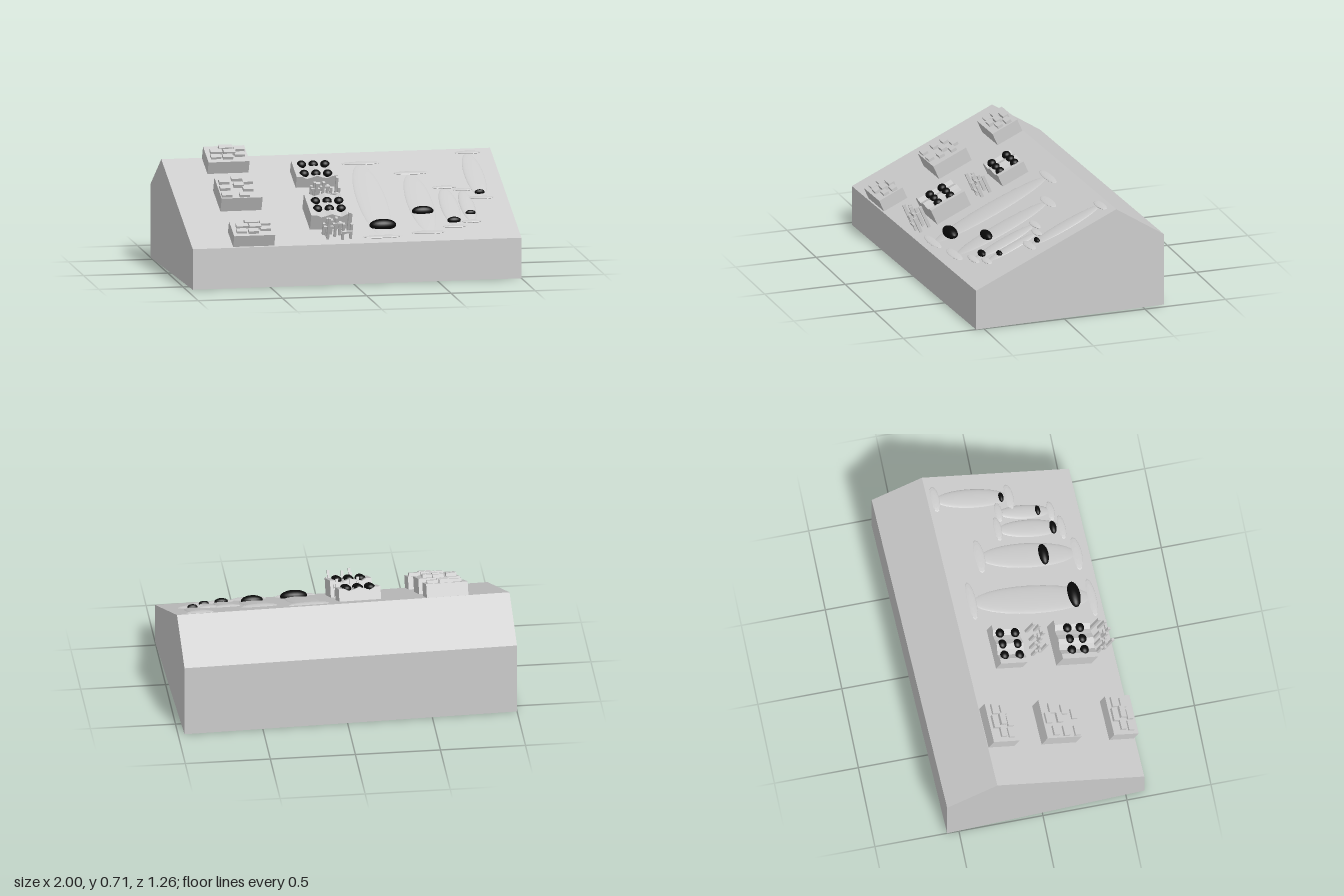
import * as THREE from 'three';

const YAW = 0.032, TILT = Math.atan2(0.39, 0.88);
const COS = Math.cos(TILT), SIN = Math.sin(TILT);
const grey = new THREE.MeshStandardMaterial({ color: 0xcccccc, flatShading: true });
const smooth = new THREE.MeshStandardMaterial({ color: 0xcccccc });
const black = new THREE.MeshStandardMaterial({ color: 0x080808 });

// Plan position (x, z) at height h above the sloping panel -> panel coordinates
function onPanel(x, z, h) {
  const w = z + 0.011 + YAW * x;
  return new THREE.Vector3(x - YAW * (z + 0.011), h, (w - 0.15 - h * SIN) / COS);
}

function add(parent, name, geometry, material, position) {
  const mesh = new THREE.Mesh(geometry, material);
  mesh.name = name;
  if (position) mesh.position.copy(position);
  parent.add(mesh);
  return mesh;
}

// Block standing on the panel; (x, z) is the centre of its top face
function block(parent, name, x, z, w, h, d) {
  const p = onPanel(x, z, h);
  p.y = h / 2 - 0.005;
  return add(parent, name, new THREE.BoxGeometry(w, h + 0.01, d), grey, p);
}

function dome(parent, name, x, z, h, rx, ry, rz) {
  const mesh = add(parent, name, new THREE.SphereGeometry(1, 20, 12), black, onPanel(x, z, h));
  mesh.scale.set(rx, ry, rz);
}

// Box with raised rectangular keys; keys are offsets [dx, dz, width, height]
function keyBox(parent, x, z, h, d, keys) {
  const g = new THREE.Group();
  g.name = 'keyBox';
  parent.add(g);
  block(g, 'keyBoxBody', x, z, 0.245, h, d);
  for (const [dx, dz, w, kh] of keys) {
    const p = onPanel(x + dx, z + dz, h);
    p.y += kh / 2;
    add(g, 'key', new THREE.BoxGeometry(w, kh, 0.035), grey, p);
  }
}

// Box with a wavy top that carries two rows of three black domes
function domeBox(parent, x, z, h, d, rowGap) {
  const g = new THREE.Group();
  g.name = 'domeBox';
  parent.add(g);
  const s = new THREE.Shape();
  s.moveTo(-0.123, -0.01);
  s.lineTo(0.123, -0.01);
  const wave = [0, 0, -0.016, -0.008, 0.004, -0.008, -0.016, 0, 0];
  wave.forEach((dy, i) => s.lineTo(0.123 - i * 0.246 / 8, h + dy));
  const geo = new THREE.ExtrudeGeometry(s, { depth: d, bevelEnabled: false });
  geo.translate(0, 0, -d / 2);
  const p = onPanel(x, z, h);
  p.y = 0;
  add(g, 'domeBoxBody', geo, grey, p);
  for (const dx of [-0.07, 0, 0.07])
    for (const side of [-1, 1])
      dome(g, 'boxDome', x + dx, z + side * rowGap / 2, h - 0.004, 0.028, 0.022, 0.026);
}

// Cluster of thin upright posts with a few cross pieces
function postCluster(parent, x, z, tall) {
  const g = new THREE.Group();
  g.name = 'postCluster';
  parent.add(g);
  const posts = [[-0.075, -0.03, 0.07], [-0.06, 0.0, 0.11], [-0.03, -0.025, 0.09], [-0.055, 0.04, 0.13],
    [-0.01, 0.015, 0.12], [0.02, -0.02, 0.08], [0.03, 0.035, 0.1], [0.075, -0.015, 0.13], [0.08, 0.02, 0.09]];
  for (const [dx, dz, h] of posts) block(g, 'post', x + dx, z + dz, 0.014, h * tall, 0.018);
  for (const [dx, dz, h] of [[-0.05, -0.012, 0.06], [0.0, 0.0, 0.08], [0.05, 0.02, 0.05]]) {
    const p = onPanel(x + dx, z + dz, h * tall);
    add(g, 'crossPiece', new THREE.BoxGeometry(0.06, 0.014, 0.014), grey, p);
  }
}

// Shallow ridge along the slope, ended by nearly level lens-shaped lips
function ridge(parent, x, z0, z1, rx, lip) {
  const g = new THREE.Group();
  g.name = 'ridge';
  parent.add(g);
  const body = add(g, 'ridgeBody', new THREE.SphereGeometry(1, 24, 16), smooth, onPanel(x, (z0 + z1) / 2, -0.002));
  body.scale.set(rx * 0.75, 0.012, (z1 - z0) / 2 / COS);
  for (const z of [z0, z1]) {
    const m = add(g, 'ridgeLip', new THREE.SphereGeometry(1, 14, 8), grey, onPanel(x, z, 0.003));
    m.scale.set(rx, 0.007, lip);
    m.rotation.x = -TILT * 0.8;
  }
}

export function createModel() {
  const model = new THREE.Group();
  model.name = 'slopedConsole';
  model.rotation.y = YAW;
  model.position.z = -0.011;

  // Wedge-shaped body: side profile in (depth, height), extruded across the width
  const profile = new THREE.Shape([[0.591, 0], [0.591, 0.24], [-0.29, 0.63], [-0.591, 0.435], [-0.591, 0]]
    .map(([z, y]) => new THREE.Vector2(-z, y)));
  const body = new THREE.ExtrudeGeometry(profile, { depth: 1.963, bevelEnabled: false });
  body.translate(0, 0, -1.963 / 2);
  body.rotateY(Math.PI / 2);
  add(model, 'body', body, grey);

  // Sloping panel frame: y is the panel normal, z runs down the slope
  const panel = new THREE.Group();
  panel.name = 'panel';
  panel.position.set(0, 0.435, 0.15);
  panel.rotation.x = TILT;
  model.add(panel);

  // Three key boxes on the right-hand side
  const stepped = [[0.0, -0.045, 0.08, 0.022], [0.08, -0.035, 0.06, 0.018], [-0.06, -0.01, 0.07, 0.018],
    [0.015, 0.0, 0.07, 0.024], [0.075, 0.015, 0.06, 0.016], [-0.07, 0.035, 0.06, 0.014], [0.0, 0.04, 0.06, 0.018]];
  const spread = [[0.0, -0.075, 0.065, 0.018], [0.06, -0.045, 0.06, 0.018], [-0.08, -0.045, 0.06, 0.018],
    [0.0, -0.01, 0.06, 0.022], [-0.085, 0.015, 0.06, 0.018], [0.05, 0.025, 0.06, 0.018],
    [-0.085, 0.08, 0.06, 0.016], [0.02, 0.08, 0.06, 0.016]];
  keyBox(panel, -0.622, -0.168, 0.08, 0.17, stepped);
  keyBox(panel, -0.612, 0.178, 0.09, 0.224, spread);
  keyBox(panel, -0.598, 0.548, 0.075, 0.16, stepped);

  // Two dome boxes, each with a post cluster below it
  domeBox(panel, -0.125, -0.025, 0.075, 0.175, 0.09);
  domeBox(panel, -0.115, 0.37, 0.1, 0.23, 0.075);
  postCluster(panel, -0.095, 0.155, 0.9);
  postCluster(panel, -0.09, 0.545, 1.1);

  // Ridges on the left-hand side
  ridge(panel, 0.18, -0.195, 0.52, 0.12, 0.03);
  ridge(panel, 0.46, -0.095, 0.485, 0.105, 0.035);
  ridge(panel, 0.63, 0.05, 0.43, 0.075, 0.025);
  ridge(panel, 0.735, 0.075, 0.385, 0.06, 0.025);
  ridge(panel, 0.83, -0.285, 0.155, 0.08, 0.03);

  // Black domes between the ridge ends
  dome(panel, 'largeDome', 0.2, 0.42, 0.01, 0.08, 0.035, 0.038);
  dome(panel, 'largeDome', 0.46, 0.29, 0.01, 0.065, 0.03, 0.03);
  dome(panel, 'smallDome', 0.63, 0.38, 0.008, 0.04, 0.02, 0.021);
  dome(panel, 'smallDome', 0.74, 0.31, 0.008, 0.03, 0.016, 0.016);
  dome(panel, 'smallDome', 0.83, 0.11, 0.008, 0.03, 0.016, 0.015);

  const root = new THREE.Group();
  root.name = 'console';
  root.add(model);
  return root;
}
